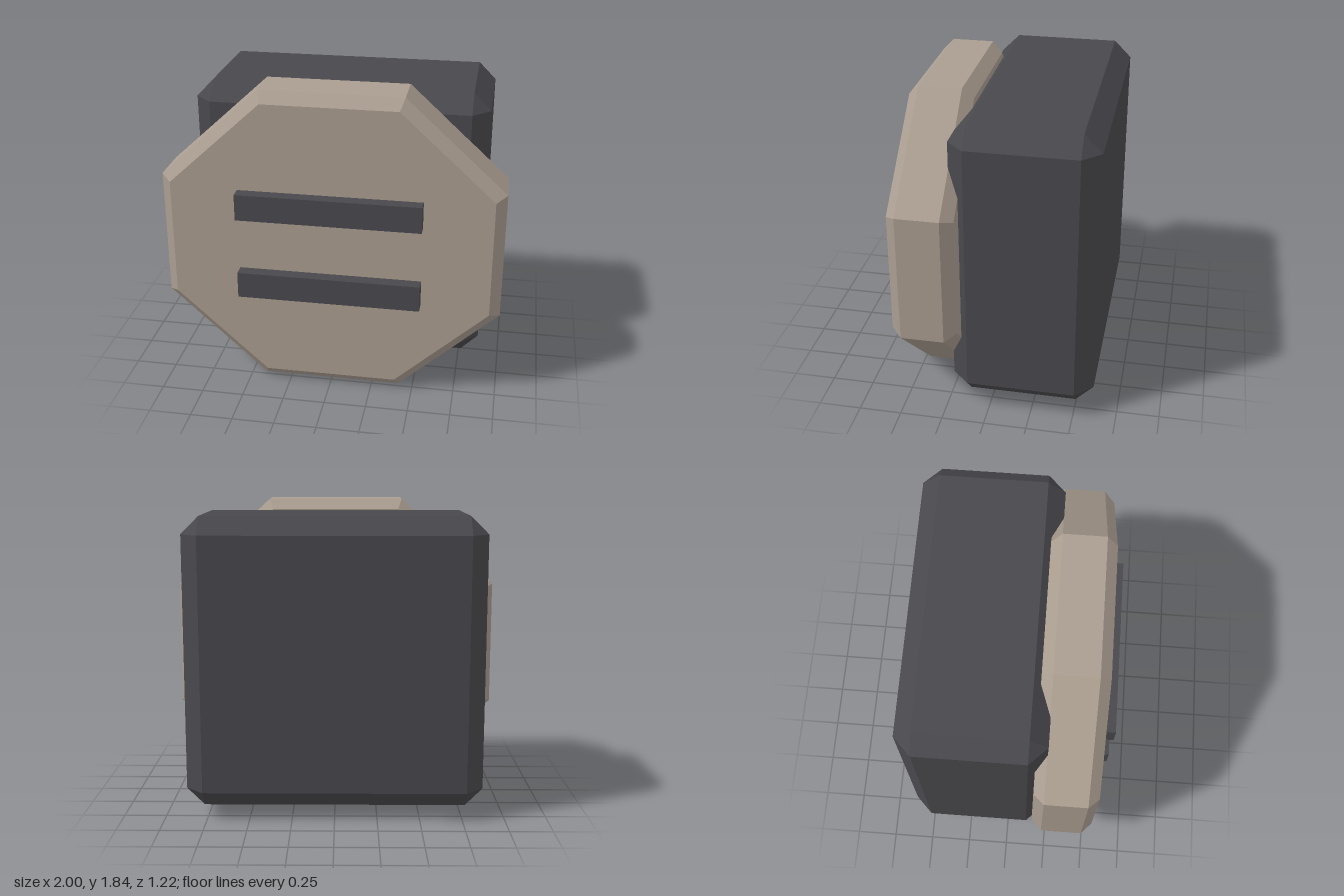
import * as THREE from 'three';
import { ConvexGeometry } from 'three/addons/geometries/ConvexGeometry.js';

const tan = new THREE.MeshStandardMaterial({ color: 0xaa9d90 });
tan.name = 'warm tan';
const charcoal = new THREE.MeshStandardMaterial({ color: 0x49484d });
charcoal.name = 'charcoal';

function part(name, geometry, material, x, y, z) {
  const mesh = new THREE.Mesh(geometry, material);
  mesh.name = name;
  mesh.position.set(x, y, z);
  return mesh;
}

// Box with flat bevels on every edge and triangular corners
function chamferBox(w, h, d, c) {
  const points = [];
  for (const sx of [-1, 1]) for (const sy of [-1, 1]) for (const sz of [-1, 1]) {
    for (let axis = 0; axis < 3; axis++) {
      const inset = [c, c, c];
      inset[axis] = 0;
      points.push(new THREE.Vector3(
        sx * (w / 2 - inset[0]), sy * (h / 2 - inset[1]), sz * (d / 2 - inset[2])));
    }
  }
  return new ConvexGeometry(points);
}

// Octagonal slab with bevelled front and back rims
function octagonSlab() {
  const rim = [[0.415, 0.92], [1, 0.382]];
  const face = [[0.392, 0.857], [0.938, 0.355]];
  const points = [];
  for (const [ring, z] of [[face, 0.1875], [rim, 0.125]]) {
    for (const [x, y] of ring) for (const sx of [-1, 1]) for (const sy of [-1, 1]) {
      for (const sz of [-1, 1]) points.push(new THREE.Vector3(sx * x, sy * y, sz * z));
    }
  }
  return new ConvexGeometry(points);
}

export function createModel() {
  const model = new THREE.Group();
  model.name = 'octagonalSocket';

  model.add(part('housing', chamferBox(1.745, 1.7, 0.835, 0.103), charcoal, 0, 0.923, -0.1925));
  model.add(part('facePlate', octagonSlab(), tan, 0, 0.92, 0.3475));

  // Two raised horizontal bars, seated slightly into the plate
  const bar = new THREE.BoxGeometry(1.076, 0.158, 0.13);
  model.add(part('upperBar', bar, charcoal, 0, 1.174, 0.545));
  model.add(part('lowerBar', bar, charcoal, 0, 0.675, 0.545));
  return model;
}
